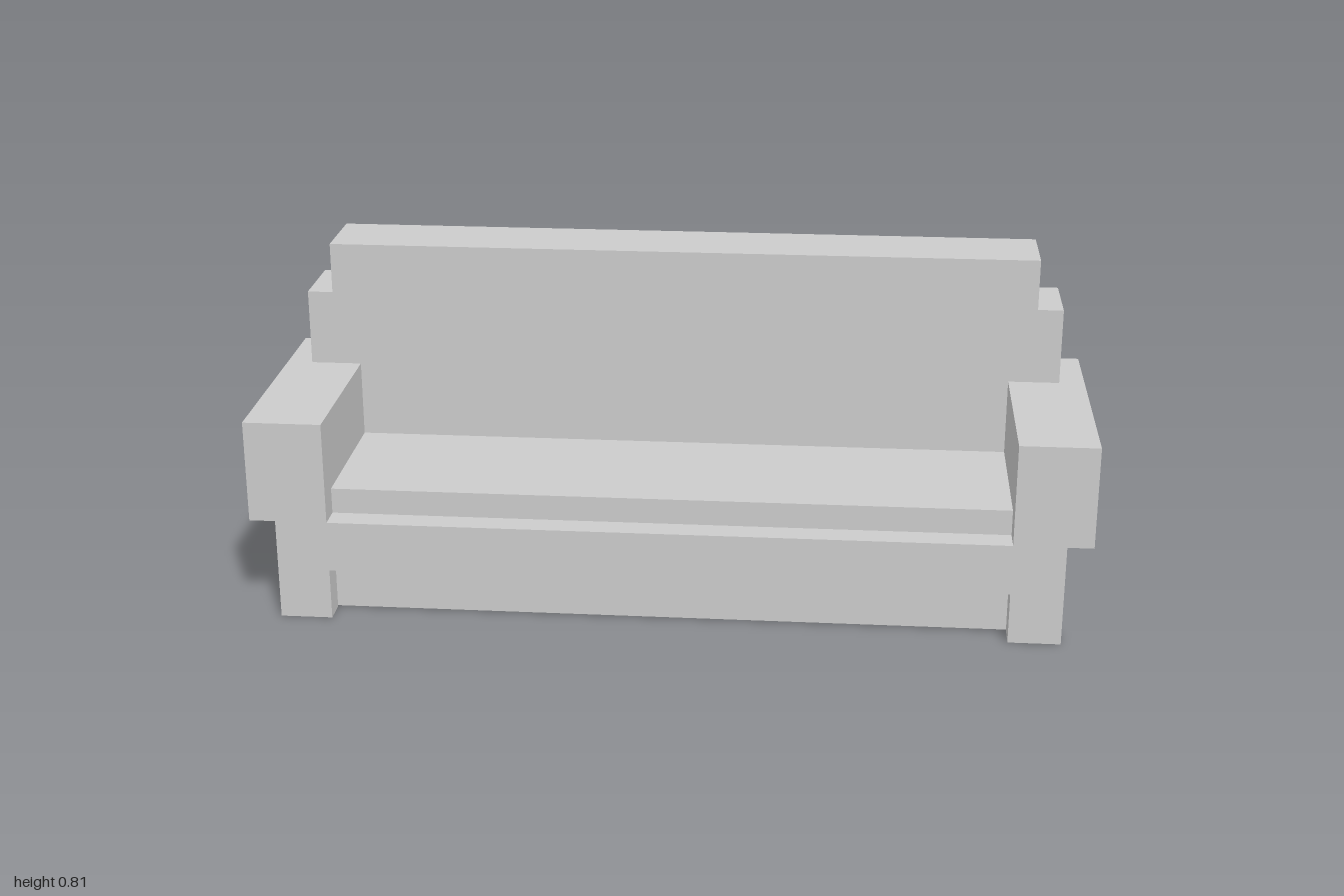
import * as THREE from 'three';

const U = 1 / 16; // grid step: the sofa is 32 x 13 x 10 steps
const material = new THREE.MeshStandardMaterial({ color: 0xcccccc, flatShading: true });

// Box given by its extents in grid steps
function block(name, [x0, x1], [y0, y1], [z0, z1]) {
  const geometry = new THREE.BoxGeometry((x1 - x0) * U, (y1 - y0) * U, (z1 - z0) * U);
  const mesh = new THREE.Mesh(geometry, material);
  mesh.position.set((x0 + x1) / 2 * U, (y0 + y1) / 2 * U, (z0 + z1) / 2 * U);
  mesh.name = name;
  return mesh;
}

// Stepped backrest, extruded from its mirrored front outline
function backrest() {
  const half = [[13, 4], [13, 8], [15, 8], [15, 11], [14, 11], [14, 13]];
  const outline = [...half, ...half.map(([x, y]) => [-x, y]).reverse()];
  const shape = new THREE.Shape(outline.map(([x, y]) => new THREE.Vector2(x * U, y * U)));
  const geometry = new THREE.ExtrudeGeometry(shape, { depth: 3 * U, bevelEnabled: false });
  const mesh = new THREE.Mesh(geometry, material);
  mesh.position.z = -5 * U;
  mesh.name = 'backrest';
  return mesh;
}

export function createModel() {
  const sofa = new THREE.Group();
  sofa.name = 'sofa';

  // Base frame, with a recessed plinth just clear of the floor
  sofa.add(block('baseFrame', [-15, 15], [2, 4], [-5, 5]));
  sofa.add(block('plinth', [-14, 14], [0.05, 2], [-4, 4]));

  // Seat and back
  sofa.add(block('seatCushion', [-13, 13], [4, 5], [-2, 4]));
  sofa.add(backrest());

  // Arms and corner legs, mirrored left and right
  for (const [side, s] of [['left', 1], ['right', -1]]) {
    const span = (a, b) => (s > 0 ? [a, b] : [-b, -a]);
    sofa.add(block(side + 'Arm', span(13, 16), [4, 8], [-5, 5]));
    sofa.add(block(side + 'FrontLeg', span(13, 15), [0, 2], [4, 5]));
    sofa.add(block(side + 'BackLeg', span(13, 15), [0, 2], [-5, -4]));
  }
  return sofa;
}
